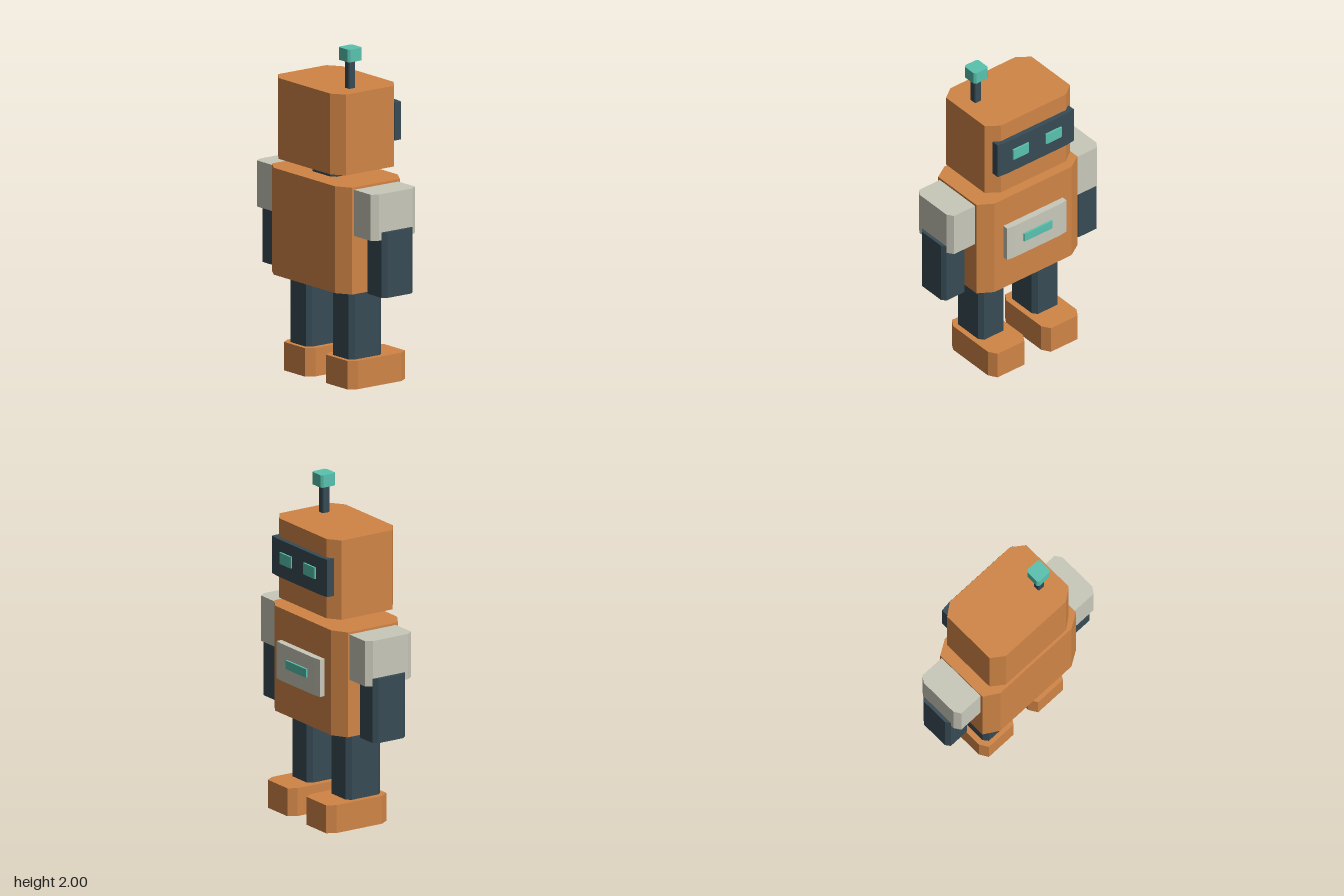
import * as THREE from 'three';

const mat = (name, color) => {
  const m = new THREE.MeshStandardMaterial({ color });
  m.name = name;
  return m;
};

// Unit block whose four upright edges are cut off by 12 percent
function chamferedBlock() {
  const a = 0.5, b = 0.38;
  const outline = [[b, -a], [a, -b], [a, b], [b, a], [-b, a], [-a, b], [-a, -b], [-b, -a]];
  const shape = new THREE.Shape(outline.map(([x, y]) => new THREE.Vector2(x, y)));
  const g = new THREE.ExtrudeGeometry(shape, { depth: 1, bevelEnabled: false });
  return g.translate(0, 0, -0.5).rotateX(-Math.PI / 2);
}

export function createModel() {
  const orange = mat('orange shell', 0xd08546);
  const slate = mat('dark slate', 0x374b55);
  const stone = mat('pale stone', 0xc8c8ba);
  const teal = mat('teal glow', 0x59c2af);

  const unit = chamferedBlock();
  const robot = new THREE.Group();
  robot.name = 'robot';

  // Adds a block given its extents along each axis
  function block(name, material, [x0, x1], [y0, y1], [z0, z1], parent = robot) {
    const g = unit.clone().scale(x1 - x0, y1 - y0, z1 - z0);
    g.translate((x0 + x1) / 2, (y0 + y1) / 2, (z0 + z1) / 2);
    const mesh = new THREE.Mesh(g, material);
    mesh.name = name;
    parent.add(mesh);
  }

  // Torso, neck and head
  block('torso', orange, [-0.375, 0.375], [0.583, 1.218], [-0.205, 0.257]);
  block('neck', slate, [-0.11, 0.11], [1.2, 1.3], [-0.08, 0.132]);
  block('head', orange, [-0.317, 0.317], [1.28, 1.76], [-0.208, 0.257]);

  // Face: visor with two eyes
  const face = new THREE.Group();
  face.name = 'face';
  robot.add(face);
  block('visor', slate, [-0.282, 0.282], [1.422, 1.648], [-0.238, -0.176], face);
  block('leftEye', teal, [0.063, 0.18], [1.508, 1.577], [-0.25, -0.23], face);
  block('rightEye', teal, [-0.18, -0.063], [1.508, 1.577], [-0.25, -0.23], face);

  // Chest panel with light bar
  block('chestPanel', stone, [-0.22, 0.22], [0.803, 1.028], [-0.246, -0.19]);
  block('chestLight', teal, [-0.105, 0.105], [0.893, 0.945], [-0.259, -0.235]);

  // Antenna
  block('antennaStem', slate, [0.174, 0.22], [1.75, 1.94], [0.053, 0.101]);
  block('antennaTip', teal, [0.145, 0.248], [1.925, 2], [0.023, 0.125]);

  // Limbs, mirrored
  for (const [side, s] of [['left', 1], ['right', -1]]) {
    const span = (a, b) => (s > 0 ? [a, b] : [-b, -a]);
    const arm = new THREE.Group();
    arm.name = side + 'Arm';
    block(side + 'Shoulder', stone, span(0.34, 0.556), [0.93, 1.204], [-0.137, 0.187], arm);
    block(side + 'Forearm', slate, span(0.404, 0.577), [0.587, 0.976], [-0.1, 0.127], arm);
    const leg = new THREE.Group();
    leg.name = side + 'Leg';
    block(side + 'Shin', slate, span(0.104, 0.294), [0.15, 0.6], [-0.093, 0.147], leg);
    block(side + 'Foot', orange, span(0.067, 0.328), [0, 0.169], [-0.248, 0.174], leg);
    robot.add(arm, leg);
  }
  return robot;
}
